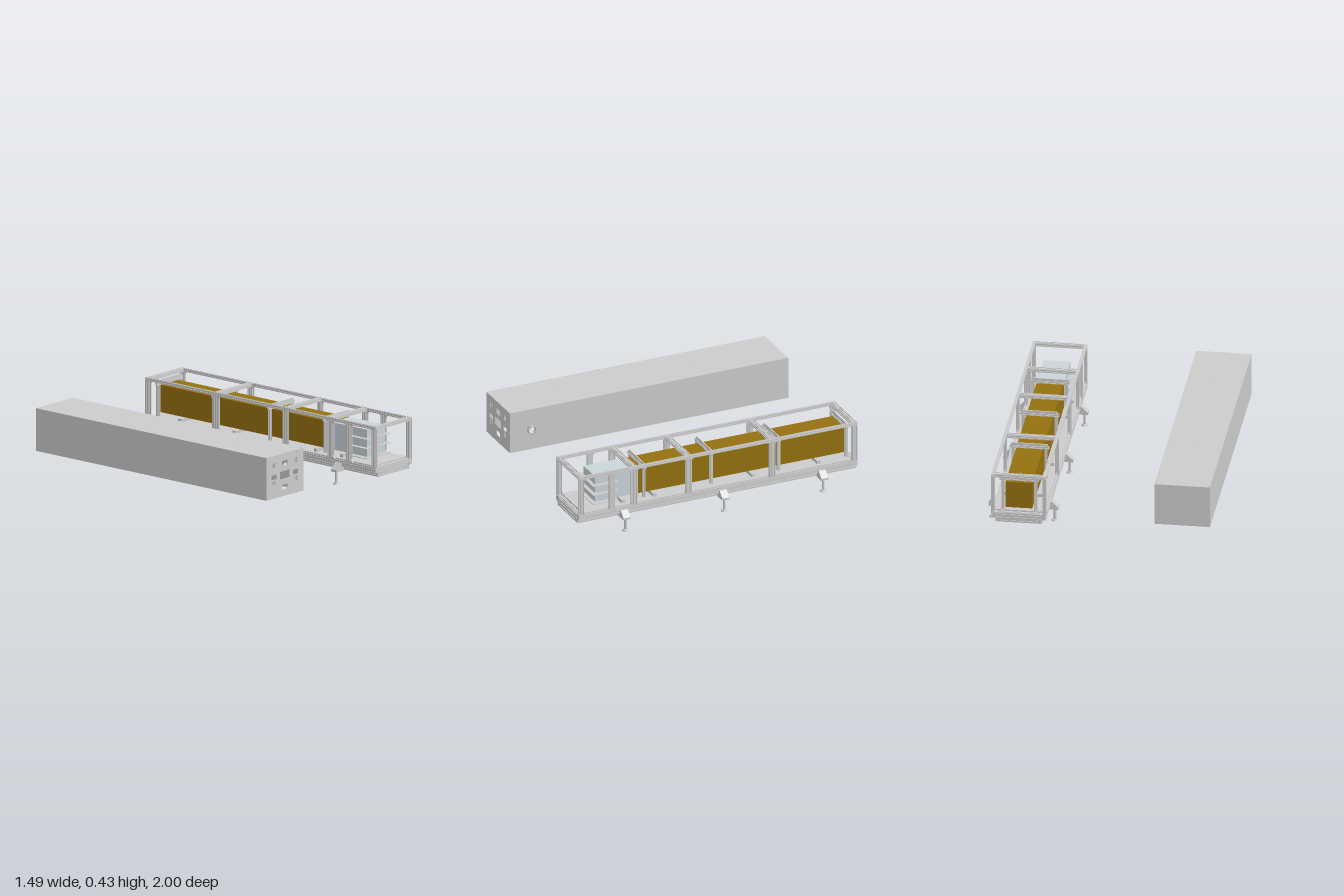
import * as THREE from 'three';

const grey = new THREE.MeshStandardMaterial({ color: 0xcccccc });
const sheet = new THREE.MeshStandardMaterial({ color: 0xcccccc, side: THREE.DoubleSide });
const gold = new THREE.MeshStandardMaterial({ color: 0x94700f });
const pale = new THREE.MeshStandardMaterial({ color: 0xc9d5d9 });

function add(parent, name, geo, x = 0, y = 0, z = 0, mat = grey) {
  const m = new THREE.Mesh(geo, mat);
  m.name = name;
  m.position.set(x, y, z);
  parent.add(m);
  return m;
}

// box given by its limits
function span(parent, name, [x0, x1], [y0, y1], [z0, z1], mat) {
  return add(parent, name, new THREE.BoxGeometry(x1 - x0, y1 - y0, z1 - z0),
    (x0 + x1) / 2, (y0 + y1) / 2, (z0 + z1) / 2, mat);
}

// slotted aluminium profile, w x h, with one slot per 0.02 cell
function profileShape(w, h) {
  const s = new THREE.Shape();
  const corners = [[-w / 2, -h / 2], [w / 2, -h / 2], [w / 2, h / 2], [-w / 2, h / 2]];
  const a = 0.003, d = 0.005;
  s.moveTo(...corners[0]);
  corners.forEach(([x, y], i) => {
    const [nx, ny] = corners[(i + 1) % 4];
    const len = Math.hypot(nx - x, ny - y), ux = (nx - x) / len, uy = (ny - y) / len;
    const cells = Math.max(1, Math.round(len / 0.02));
    for (let c = 0; c < cells; c++) {
      const t = (c + 0.5) * len / cells;
      for (const [along, deep] of [[t - a, 0], [t - a, d], [t + a, d], [t + a, 0]])
        s.lineTo(x + ux * along - uy * deep, y + uy * along + ux * deep);
    }
    if (i < 3) s.lineTo(nx, ny);
  });
  return s;
}

// profile given by its limits, running along one axis
function rail(parent, name, axis, X, Y, Z) {
  const L = [X, Y, Z].map(([a, b]) => b - a);
  const C = [X, Y, Z].map(([a, b]) => (a + b) / 2);
  const [w, h, len] = axis === 'z' ? [L[0], L[1], L[2]] : axis === 'x' ? [L[2], L[1], L[0]] : [L[0], L[2], L[1]];
  const g = new THREE.ExtrudeGeometry(profileShape(w, h), { depth: len, bevelEnabled: false });
  g.translate(0, 0, -len / 2);
  if (axis === 'x') g.rotateY(Math.PI / 2);
  if (axis === 'y') g.rotateX(Math.PI / 2);
  return add(parent, name, g, ...C);
}

function rectPath(target, x0, y0, x1, y1) {
  target.moveTo(x0, y0).lineTo(x1, y0).lineTo(x1, y1).lineTo(x0, y1).lineTo(x0, y0);
  return target;
}

function buildCover() {
  const g = new THREE.Group();
  g.name = 'cover';
  const x0 = -0.745, x1 = -0.38, y0 = 0.145, y1 = 0.432, t = 0.004, xm = (x0 + x1) / 2;
  span(g, 'coverTop', [x0, x1], [y1 - t, y1], [-1, 1], sheet);
  span(g, 'coverRightSide', [x0, x0 + t], [y0, y1 - t], [-1, 1], sheet);
  span(g, 'coverBack', [x0 + t, x1 - t], [y0, y1 - t], [-1, -1 + t], sheet);

  // side sheet with the round port
  const side = rectPath(new THREE.Shape(), -1, y0, 1, y1 - t);
  side.holes.push(new THREE.Path().absarc(-0.845, 0.287, 0.022, 0, Math.PI * 2, true));
  const sg = new THREE.ExtrudeGeometry(side, { depth: t, bevelEnabled: false, curveSegments: 24 });
  add(g, 'coverLeftSide', sg.rotateY(Math.PI / 2), x1 - t, 0, 0, sheet);
  const ring = new THREE.LatheGeometry([[0.022, 0], [0.031, 0], [0.031, 0.014], [0.022, 0.014], [0.022, 0]]
    .map(p => new THREE.Vector2(...p)), 32);
  add(g, 'portRing', ring.rotateZ(-Math.PI / 2), x1, 0.287, 0.845, sheet);

  // front sheet with connector cut-outs and perforated vents
  const front = rectPath(new THREE.Shape(), x0 + t, y0, x1 - t, y1 - t);
  const cut = (x, y, w, h) => front.holes.push(rectPath(new THREE.Path(), x - w / 2, y - h / 2, x + w / 2, y + h / 2));
  cut(xm, 0.287, 0.092, 0.052);
  cut(xm, 0.365, 0.052, 0.036);
  cut(xm, 0.207, 0.052, 0.032);
  for (const s of [-1, 1]) {
    cut(xm + s * 0.107, 0.287, 0.05, 0.032);
    for (const y of [0.365, 0.245])
      for (let i = 0; i < 4; i++) for (let j = 0; j < 4; j++)
        cut(xm + s * 0.107 + (i - 1.5) * 0.009, y + (j - 1.5) * 0.009, 0.006, 0.006);
  }
  add(g, 'coverFront', new THREE.ExtrudeGeometry(front, { depth: t, bevelEnabled: false }), 0, 0, 1 - t, sheet);

  // screws on the top, sides and ends
  const screw = (x, y, z, axis) => {
    const c = new THREE.CylinderGeometry(0.004, 0.004, 0.002, 10);
    if (axis === 'x') c.rotateZ(Math.PI / 2);
    if (axis === 'z') c.rotateX(Math.PI / 2);
    add(g, 'screw', c, x, y, z);
  };
  const mid = [-0.988, -0.405, -0.385, 0.2, 0.22, 0.56, 0.585, 0.988];
  for (const z of mid) {
    screw(xm, y1, z, 'y');
    for (const x of [x0, x1]) screw(x, 0.287, z, 'x');
  }
  for (const z of [...mid, -0.81, -0.59, -0.2, 0.01])
    for (const x of [x0 + 0.011, x1 - 0.011]) screw(x, y1, z, 'y');
  for (const z of [-1, 1]) {
    for (const y of [0.155, 0.42]) for (const dx of [-0.12, 0, 0.12]) screw(xm + dx, y, z, 'z');
    for (const x of [x0 + 0.012, x1 - 0.012]) screw(x, 0.287, z, 'z');
  }
  return g;
}

function buildFrame() {
  const g = new THREE.Group();
  g.name = 'frame';
  const xc = 0.515, half = 0.18;
  // limits measured outward from the centre plane, mirrored by s
  const mx = (s, a, b) => s > 0 ? [xc + a, xc + b] : [xc - b, xc - a];
  const posts = [[-1, -0.963], [-0.41, -0.37], [0.19, 0.23], [0.583, 0.623], [0.743, 0.78], [0.965, 1]];
  const gusset = new THREE.Shape([[0, 0], [0.022, 0], [0.007, 0.007], [0, 0.022]].map(p => new THREE.Vector2(...p)));
  const gussetGeo = new THREE.ExtrudeGeometry(gusset, { depth: 0.012, bevelEnabled: false });
  gussetGeo.translate(0, 0, -0.006).rotateY(-Math.PI / 2);

  for (const s of [-1, 1]) {
    rail(g, 'topRail', 'z', mx(s, half - 0.02, half), [0.412, 0.432], [-1, 1]);
    rail(g, 'upperBaseRail', 'z', mx(s, half - 0.04, half), [0.12, 0.16], [-1, 1]);
    rail(g, 'lowerBaseRail', 'z', mx(s, half - 0.07, half - 0.025), [0.094, 0.12], [-1, 1]);
    posts.forEach(([z0, z1], i) => {
      rail(g, 'post', 'y', mx(s, half - 0.02, half), [0.16, 0.412], [z0, z1]);
      // corner gussets of each side opening
      for (const [z, dir, on] of [[z1, 1, i < 5], [z0, -1, i > 0]]) if (on) for (const up of [1, -1]) {
        const m = add(g, 'gusset', gussetGeo, xc + s * (half - 0.01), up > 0 ? 0.16 : 0.412, z, sheet);
        m.scale.set(1, up, dir);
      }
    });
  }
  const inner = [xc - half + 0.02, xc + half - 0.02];
  for (const i of [0, 1, 2, 3, 5]) rail(g, 'topCrossRail', 'x', inner, [0.412, 0.432], posts[i]);

  // base: seven stepped bays under a floor plate
  const bays = 7, bayLength = 1.96 / bays;
  for (let i = 0; i <= bays; i++) {
    const z = -0.98 + i * bayLength;
    const outer = i === 0 || i === bays;
    rail(g, 'lowerCrossRail', 'x', [xc - 0.11, xc + 0.11], [0.094, 0.12], [z - 0.02, z + 0.02]);
    const w = outer ? 0.02 : 0.04;
    rail(g, 'upperCrossRail', 'x', [xc - 0.14, xc + 0.14], [0.12, 0.16], [z - w, z + w]);
  }
  span(g, 'floorPlate', [xc - 0.165, xc + 0.165], [0.158, 0.166], [-0.965, 0.965]);

  // levelling feet on angled brackets
  for (const s of [-1, 1]) for (const z of [0.68, -0.03, -0.741]) {
    const pts = [[0.155, 0.088], [0.23, 0.088], [0.23, 0.102], [0.19, 0.142], [0.155, 0.142]];
    const shape = new THREE.Shape(pts.map(([x, y]) => new THREE.Vector2(s * x, y)));
    add(g, 'footBracket', new THREE.ExtrudeGeometry(shape, { depth: 0.05, bevelEnabled: false }), xc, 0, z - 0.025);
    const x = xc + s * 0.205;
    add(g, 'footRod', new THREE.CylinderGeometry(0.009, 0.009, 0.08, 16), x, 0.05, z);
    add(g, 'footPad', new THREE.CylinderGeometry(0.017, 0.023, 0.012, 24), x, 0.006, z);
  }
  return g;
}

function buildContents() {
  const g = new THREE.Group();
  g.name = 'contents';
  const xc = 0.515;
  span(g, 'goldBlock', [xc - 0.088, xc + 0.088], [0.19, 0.373], [-0.975, 0.535], gold);
  span(g, 'paleBlock', [xc - 0.088, xc + 0.088], [0.19, 0.373], [0.535, 0.845], pale);
  for (const y of [0.185, 0.25, 0.313])
    span(g, 'shelf', [xc - 0.117, xc + 0.117], [y - 0.002, y + 0.002], [0.69, 0.87]);

  // clamping arches over the block
  for (const z of [-0.95, -0.465, 0.02, 0.503]) {
    for (const s of [-1, 1])
      rail(g, 'clampPost', 'y', [xc + s * 0.108 - 0.01, xc + s * 0.108 + 0.01], [0.166, 0.376], [z - 0.009, z + 0.009]);
    rail(g, 'clampBar', 'x', [xc - 0.13, xc + 0.13], [0.376, 0.394], [z - 0.009, z + 0.009]);
    span(g, 'clampStrip', [xc - 0.12, xc + 0.12], [0.394, 0.41], [z - 0.004, z + 0.004]);
  }
  // floor supports below the block
  for (const z of [-0.74, -0.27, 0.437, 0.665])
    span(g, 'floorSupport', [xc - 0.137, xc + 0.137], [0.166, 0.188], [z - 0.012, z + 0.012]);
  return g;
}

export function createModel() {
  const model = new THREE.Group();
  model.name = 'machineFrameAndCover';
  model.add(buildCover(), buildFrame(), buildContents());
  return model;
}
